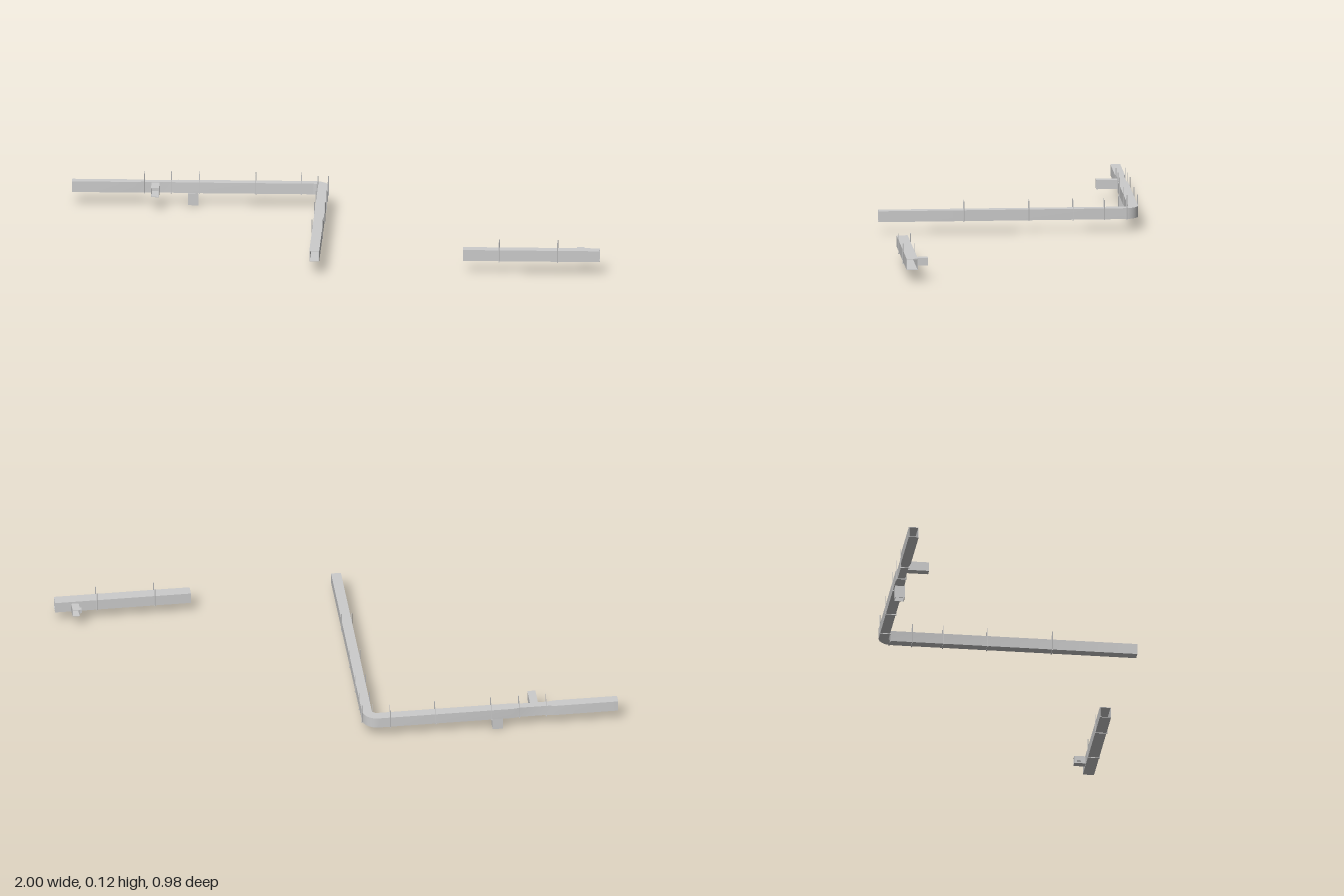
import * as THREE from 'three';
import { toCreasedNormals } from 'three/addons/utils/BufferGeometryUtils.js';

const material = new THREE.MeshStandardMaterial({ color: 0xcccccc, side: THREE.DoubleSide });
const WALL = 0.002;

// Hollow rectangular duct along stations [x, z, sideX, sideZ, width], open at both ends
function ductGeometry(stations, y0, y1) {
  const rings = stations.map(([x, z, sx, sz, w]) => [0, WALL].map(t => {
    const h = w / 2 - t;
    return [[-h, y0 + t], [h, y0 + t], [h, y1 - t], [-h, y1 - t]]
      .map(([s, y]) => [x + sx * s, y, z + sz * s]);
  }));
  const pos = [];
  const quad = (a, b, c, d) => pos.push(...a, ...b, ...c, ...a, ...c, ...d);
  for (let k = 0; k < 4; k++) {
    const n = (k + 1) % 4;
    for (let i = 0; i < rings.length - 1; i++) {
      const [a, b] = [rings[i], rings[i + 1]];
      quad(a[0][k], a[0][n], b[0][n], b[0][k]);
      quad(a[1][n], a[1][k], b[1][k], b[1][n]);
    }
    // end rims
    const first = rings[0], last = rings[rings.length - 1];
    quad(first[0][n], first[0][k], first[1][k], first[1][n]);
    quad(last[0][k], last[0][n], last[1][n], last[1][k]);
  }
  const g = new THREE.BufferGeometry();
  g.setAttribute('position', new THREE.Float32BufferAttribute(pos, 3));
  return toCreasedNormals(g, 0.6);
}

export function createModel() {
  const model = new THREE.Group();
  const add = (name, geometry, x = 0, y = 0, z = 0) => {
    const mesh = new THREE.Mesh(geometry, material);
    mesh.name = name;
    mesh.position.set(x, y, z);
    model.add(mesh);
    return mesh;
  };
  const Y0 = 0.046, Y1 = 0.087, W = 0.037;
  const ZC = -0.468, XC = -0.063;

  // Main duct: back run with a slimmer section, rounded elbow, forward run
  const narrow = 0.028, R = 0.038;
  const main = [[-1, W], [-0.765, W], [-0.74, narrow], [-0.63, narrow], [-0.605, W]]
    .map(([x, w]) => [x, ZC, 0, 1, w]);
  for (let i = 0; i <= 12; i++) {
    const a = (i / 12) * Math.PI / 2;
    const s = Math.sin(a), c = Math.cos(a);
    main.push([XC - R + R * s, ZC + R - R * c, -s, c, W]);
  }
  main.push([XC, 0.487, -1, 0, W]);
  add('mainDuct', ductGeometry(main, Y0, Y1));

  // Branch leaving the slim section towards the front
  add('frontBranch', ductGeometry(
    [[-0.688, -0.456, -1, 0, 0.03], [-0.688, -0.373, -1, 0, 0.03]], 0.05, 0.085));

  // Drop under the back run
  const drop = ductGeometry([[0, 0, 0, 1, 0.037], [0.046, 0, 0, 1, 0.037]], -0.019, 0.019);
  drop.rotateZ(Math.PI / 2);
  add('dropOutlet', drop, -0.548, 0, -0.465);

  // Separate short duct with a small rear branch and damper box
  add('shortDuct', ductGeometry([[0.49, 0.439, 0, 1, 0.042], [1, 0.439, 0, 1, 0.042]], 0.047, 0.089));
  add('rearBranch', ductGeometry(
    [[0.926, 0.419, 1, 0, 0.028], [0.926, 0.375, 1, 0, 0.028]], 0.052, 0.081));
  add('damperBox', new THREE.BoxGeometry(0.008, 0.016, 0.014), 0.908, 0.066, 0.392);

  // Trapeze hangers: two rods and a bar below the duct
  const rod = new THREE.CylinderGeometry(0.0014, 0.0014, 0.077, 8);
  function hanger(x, z, span, alongX) {
    const group = new THREE.Group();
    group.name = 'hanger';
    for (const side of [-1, 1]) {
      const mesh = new THREE.Mesh(rod, material);
      mesh.name = 'hangerRod';
      mesh.position.set(0, 0.0815, side * span / 2);
      group.add(mesh);
    }
    const bar = new THREE.Mesh(new THREE.BoxGeometry(0.004, 0.003, span + 0.003), material);
    bar.name = 'hangerBar';
    bar.position.y = 0.0445;
    group.add(bar);
    group.position.set(x, 0, z);
    if (!alongX) group.rotation.y = Math.PI / 2;
    model.add(group);
  }
  for (const x of [-0.73, -0.63, -0.525, -0.315, -0.145]) {
    hanger(x, ZC, x < -0.6 ? 0.034 : 0.039, true);
  }
  for (const z of [0.168, -0.075, -0.24, -0.357, -0.441]) hanger(XC, z, 0.039, false);
  for (const x of [0.625, 0.843]) hanger(x, 0.44, 0.044, true);

  return model;
}
